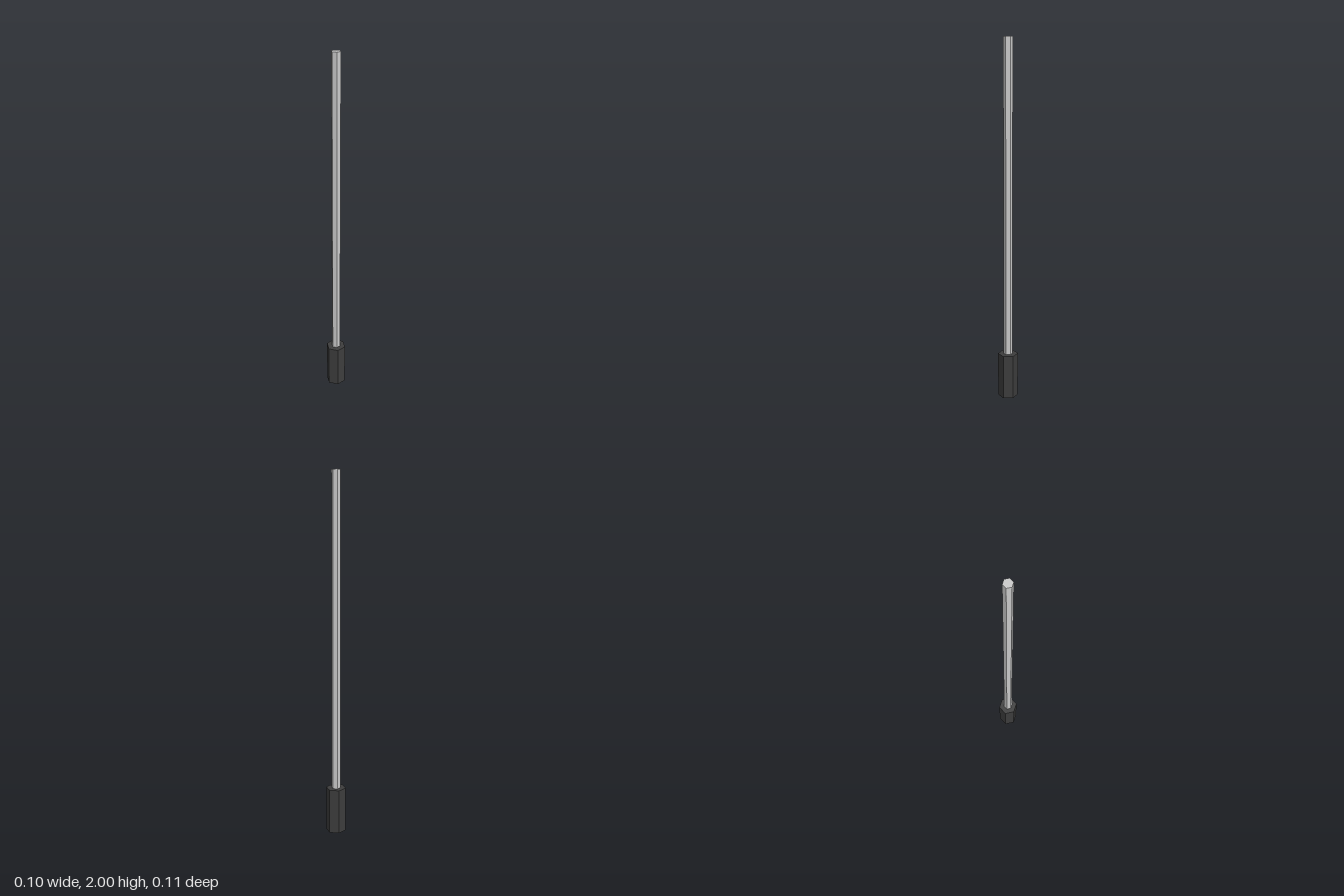
import * as THREE from 'three';

// Upright hexagonal prism with a corner facing the front
function hexPrism(name, radius, bottom, top, color) {
  const geometry = new THREE.CylinderGeometry(radius, radius, top - bottom, 6);
  const material = new THREE.MeshStandardMaterial({ color, flatShading: true });
  const mesh = new THREE.Mesh(geometry, material);
  mesh.name = name;
  mesh.position.y = (bottom + top) / 2;
  return mesh;
}

export function createModel() {
  const model = new THREE.Group();
  model.name = 'hexRod';
  // Thick dark grip at the base
  model.add(hexPrism('handle', 0.056, 0, 0.254, 0x3d3d3d));
  // Long thin shaft rising from the grip
  model.add(hexPrism('shaft', 0.025, 0.254, 2, 0xcccccc));
  return model;
}
